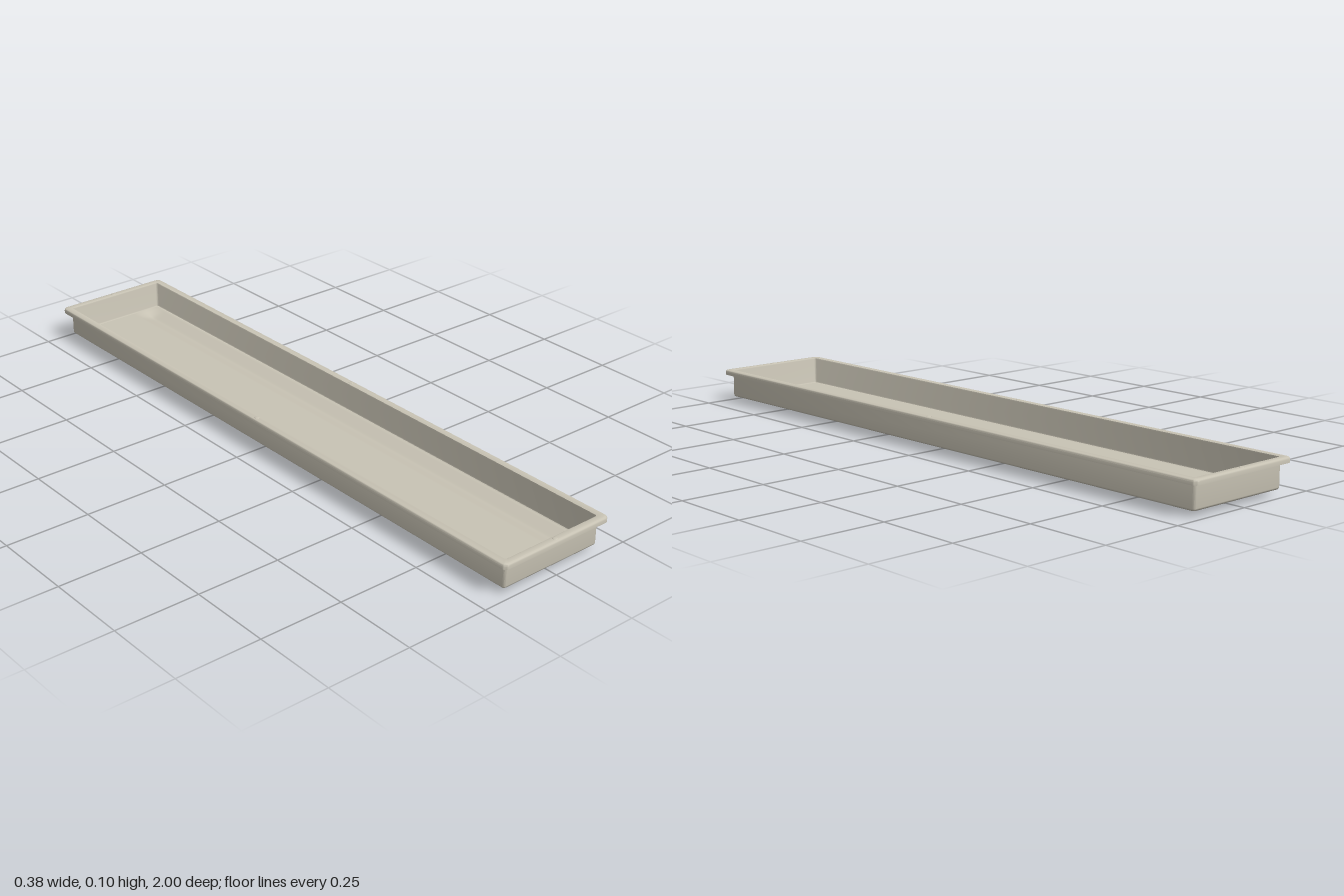
import * as THREE from 'three';
import { toCreasedNormals } from 'three/addons/utils/BufferGeometryUtils.js';

const ARC = 6; // steps per rounded corner

// Rounded rectangle at height y, as a loop of points
function ring([hx, y, r]) {
  const hz = hx + 0.812, pts = [];
  for (let q = 0; q < 4; q++) {
    const sx = q === 0 || q === 3 ? 1 : -1, sz = q < 2 ? 1 : -1;
    for (let k = 0; k <= ARC; k++) {
      const a = (q + k / ARC) * Math.PI / 2;
      pts.push(sx * (hx - r) + r * Math.cos(a), y, sz * (hz - r) + r * Math.sin(a));
    }
  }
  return pts;
}

// Skin the rings in order, outward side first
function loft(profile) {
  const n = 4 * (ARC + 1), index = [];
  for (let i = 0; i < profile.length - 1; i++) {
    for (let j = 0; j < n; j++) {
      const a = i * n + j, b = i * n + (j + 1) % n;
      index.push(a, a + n, b, b, a + n, b + n);
    }
  }
  const g = new THREE.BufferGeometry();
  g.setAttribute('position', new THREE.Float32BufferAttribute(profile.flatMap(ring), 3));
  g.setIndex(index);
  return toCreasedNormals(g, 0.7);
}

// Depth of the drainage channel pressed into the floor
function channel(x, z) {
  const t = Math.abs(x - 0.11) / 0.046;
  if (t >= 1) return 0;
  const v = 1 - Math.sqrt(t * t + 0.006);
  const end = THREE.MathUtils.smoothstep(0.972 - Math.abs(z), 0, 0.045);
  return 0.0155 * Math.max(v, 0) * end;
}

function floor(hx, y, up) {
  const hz = hx + 0.812;
  const g = new THREE.PlaneGeometry(2 * hx, 2 * hz, 72, 120);
  g.rotateX(up ? -Math.PI / 2 : Math.PI / 2);
  const p = g.attributes.position;
  for (let i = 0; i < p.count; i++) p.setY(i, y - channel(p.getX(i), p.getZ(i)));
  g.computeVertexNormals();
  return g;
}

export function createModel() {
  const group = new THREE.Group();
  const stone = new THREE.MeshStandardMaterial({ color: 0xc8c3b4 });
  stone.name = 'warm grey';
  const add = (name, geometry) => {
    const mesh = new THREE.Mesh(geometry, stone);
    mesh.name = name;
    group.add(mesh);
    return mesh;
  };

  // Walls and rolled rim: half width, height, corner radius
  add('wallsAndRim', loft([
    [0.160, 0.015, 0.0005],
    [0.164, 0.0160, 0.005],
    [0.167, 0.0185, 0.007],
    [0.168, 0.0225, 0.008],
    [0.168, 0.0985, 0.008],
    [0.184, 0.0985, 0.012],
    [0.184, 0.0875, 0.012],
    [0.188, 0.0875, 0.015],
    [0.188, 0.0965, 0.015],
    [0.1873, 0.0995, 0.0145],
    [0.1852, 0.1018, 0.013],
    [0.182, 0.1028, 0.012],
    [0.168, 0.1028, 0.007],
    [0.165, 0.1018, 0.006],
    [0.164, 0.0990, 0.005],
    [0.164, 0.0225, 0.005],
    [0.163, 0.0200, 0.004],
    [0.160, 0.0190, 0.0005],
  ]));

  // Floor skins, sharing one channel
  add('floorTop', floor(0.160, 0.019, true));
  add('floorUnderside', floor(0.160, 0.015, false));

  // Low pips at the middle of each rim side
  const pip = new THREE.SphereGeometry(1, 16, 6, 0, Math.PI * 2, 0, Math.PI / 2);
  for (const [x, z] of [[0.175, 0], [-0.175, 0], [0, 0.987], [0, -0.987]]) {
    const mesh = add('rimPip', pip);
    mesh.scale.set(0.007, 0.0015, 0.007);
    mesh.position.set(x, 0.1028, z);
  }
  return group;
}
